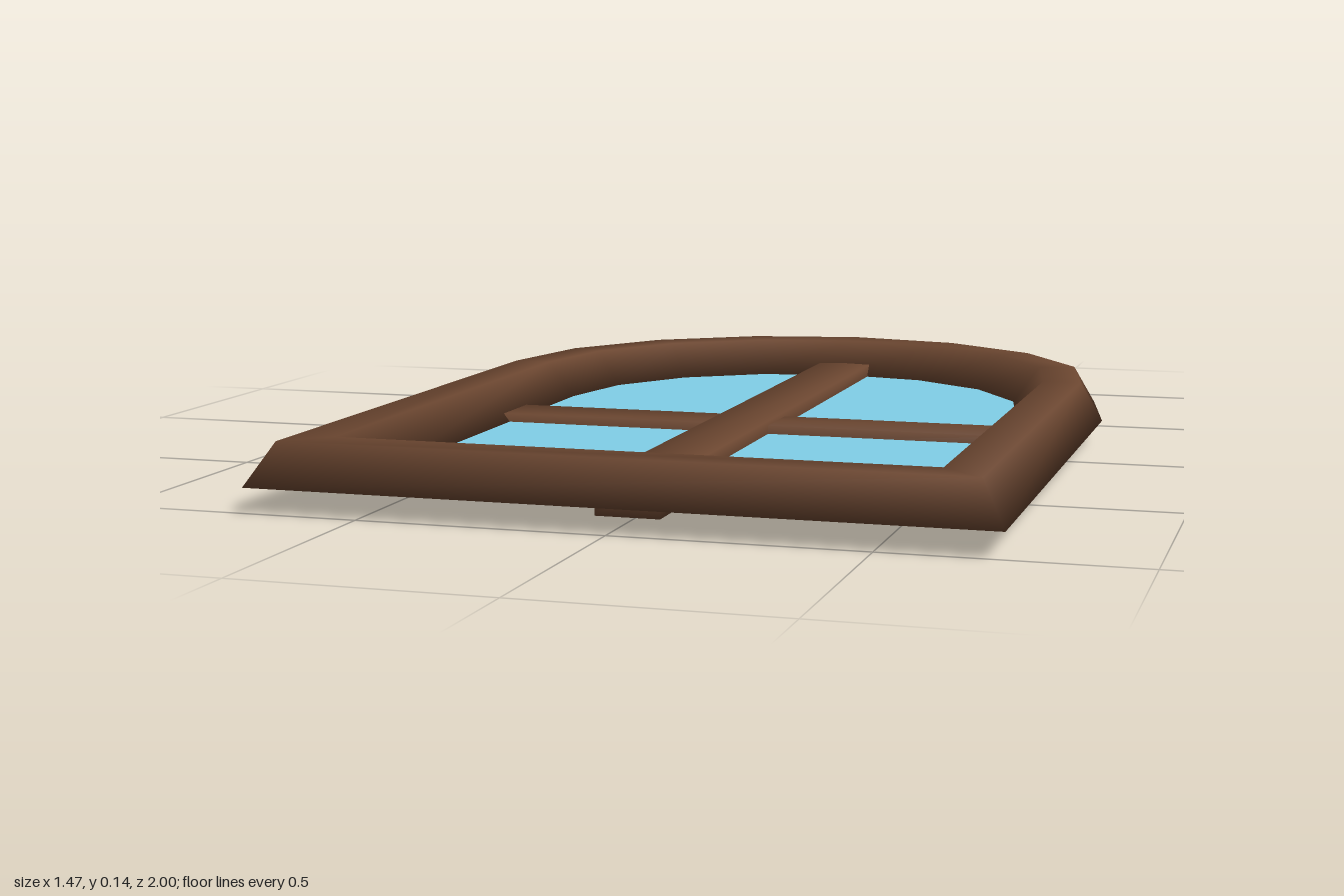
import * as THREE from 'three';
import { mergeVertices } from 'three/addons/utils/BufferGeometryUtils.js';

const HALF_WIDTH = 0.735;
const ARCH_Z = -0.265; // centre of the round arch
const ARCH_STEPS = 8;

// Window outline as [x, z] points, moved inwards by inset
function outline(inset) {
  const r = HALF_WIDTH - inset;
  const bottom = 1 - inset * 0.925;
  const points = [[r, bottom]];
  for (let i = 0; i <= ARCH_STEPS; i++) {
    const a = (i / ARCH_STEPS) * Math.PI;
    points.push([r * Math.cos(a), ARCH_Z - r * Math.sin(a)]);
  }
  points.push([-r, bottom]);
  return points;
}

// Closed frame: a trapezoid profile of [inset, y] carried round the outline
function frameGeometry() {
  const profile = [[0, 0.05], [0.05, 0.135], [0.135, 0.135], [0.2, 0.05]];
  const rings = profile.map(([inset]) => outline(inset));
  const n = rings[0].length;
  const m = profile.length;
  const positions = [];
  const index = [];
  for (let i = 0; i < n; i++) {
    for (let j = 0; j < m; j++) {
      const [x, z] = rings[j][i];
      positions.push(x, profile[j][1], z);
      const next = (i + 1) % n;
      const up = (j + 1) % m;
      const a = i * m + j, b = next * m + j, c = next * m + up, d = i * m + up;
      index.push(a, b, c, a, c, d);
    }
  }
  const geometry = new THREE.BufferGeometry();
  geometry.setAttribute('position', new THREE.Float32BufferAttribute(positions, 3));
  geometry.setIndex(index);
  geometry.computeVertexNormals();
  return geometry;
}

// Box bar with soft, shared normals
function barGeometry(width, height, depth) {
  const box = new THREE.BoxGeometry(width, height, depth);
  box.deleteAttribute('normal');
  box.deleteAttribute('uv');
  const geometry = mergeVertices(box);
  geometry.computeVertexNormals();
  return geometry;
}

export function createModel() {
  const group = new THREE.Group();
  group.name = 'archedWindow';
  const wood = new THREE.MeshStandardMaterial({ color: 0x6b4630 });
  const glass = new THREE.MeshStandardMaterial({ color: 0x80cfe8, side: THREE.DoubleSide });

  const add = (name, geometry, material, x, y, z) => {
    const mesh = new THREE.Mesh(geometry, material);
    mesh.name = name;
    mesh.position.set(x, y, z);
    group.add(mesh);
    return mesh;
  };

  add('frame', frameGeometry(), wood, 0, 0, 0);

  // Glazing bars, the long one standing slightly higher
  add('crossBar', barGeometry(1.21, 0.072, 0.135), wood, 0, 0.036, 0.073);
  add('longBar', barGeometry(0.13, 0.072, 1.76), wood, 0, 0.046, 0);

  // Pane, tucked just inside the frame's inner edge
  const shape = new THREE.Shape(outline(0.195).map(([x, z]) => new THREE.Vector2(x, -z)));
  const pane = add('glassPane', new THREE.ShapeGeometry(shape), glass, 0, 0.054, 0);
  pane.rotation.x = -Math.PI / 2;

  return group;
}
